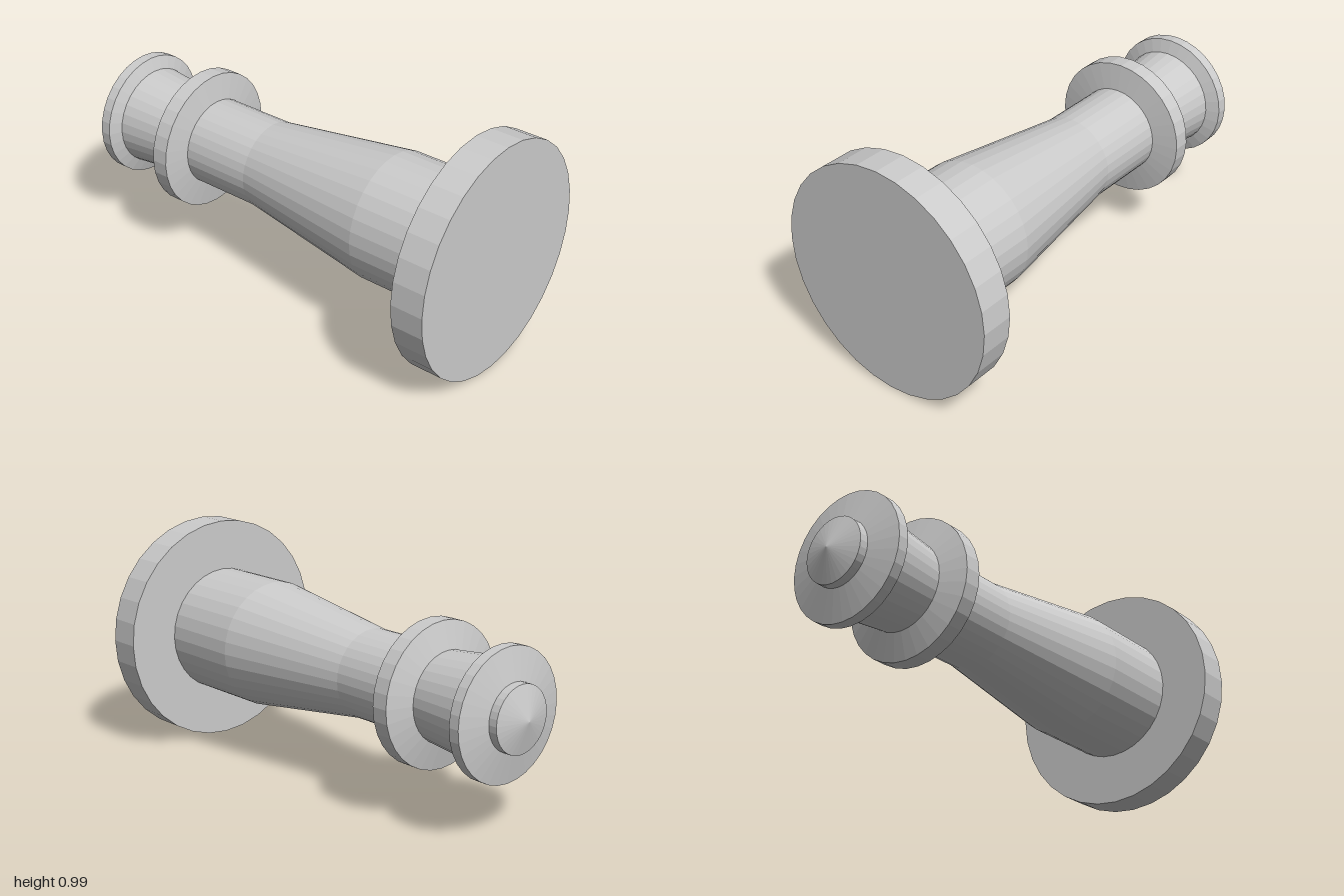
import * as THREE from 'three';

const SIDES = 32;
const AXIS_HEIGHT = 0.4935;

export function createModel() {
  const group = new THREE.Group();
  group.name = 'turnedHandle';
  const material = new THREE.MeshStandardMaterial({ color: 0xcccccc, flatShading: true });

  // Turned part from [radius, z] pairs, running from the front (+z) to the back (-z)
  function turned(name, profile) {
    const points = profile.map(([r, z]) => new THREE.Vector2(r, -z));
    const geometry = new THREE.LatheGeometry(points, SIDES);
    geometry.rotateX(-Math.PI / 2);
    const mesh = new THREE.Mesh(geometry, material);
    mesh.name = name;
    mesh.position.y = AXIS_HEIGHT;
    group.add(mesh);
  }

  // Wide flat disc at the front
  turned('base', [[0, 1], [0.4935, 1], [0.4935, 0.858], [0.275, 0.858]]);

  // Straight foot, taper and slim neck
  turned('shaft', [[0.275, 0.858], [0.275, 0.49], [0.189, -0.14], [0.189, -0.457]]);

  // Bevelled ring around the neck
  turned('collar', [[0.189, -0.457], [0.302, -0.475], [0.302, -0.548], [0.189, -0.578]]);

  // Flared section behind the ring
  turned('head', [[0.189, -0.578], [0.214, -0.83]]);

  // Bevelled cap
  turned('cap', [[0.214, -0.83], [0.27, -0.85], [0.27, -0.897], [0.138, -0.924]]);

  // Small pointed knob at the back end
  turned('knob', [[0.138, -0.924], [0.138, -0.962], [0, -1]]);

  return group;
}
